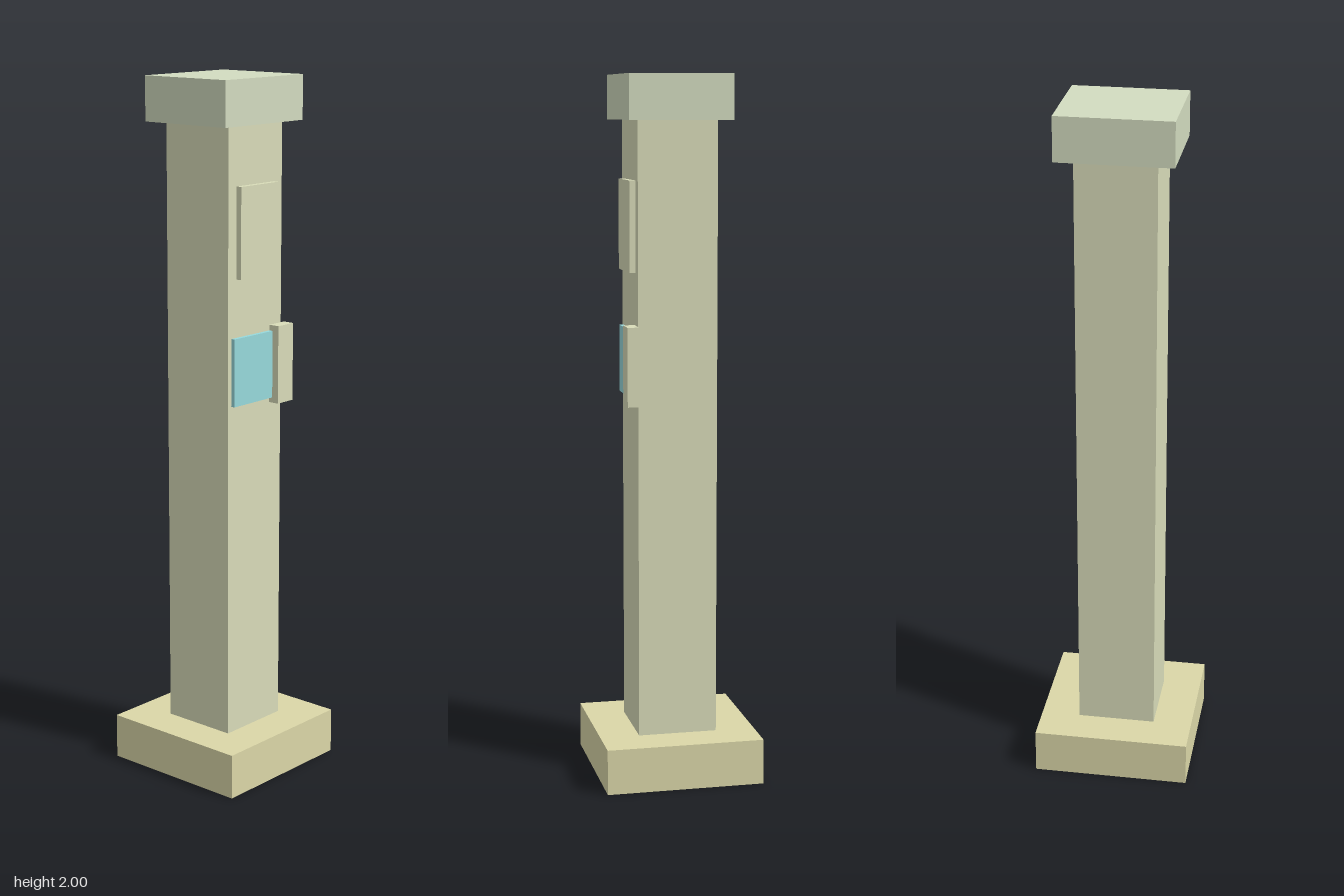
import * as THREE from 'three';

export function createModel() {
  const model = new THREE.Group();
  const mat = (color) => new THREE.MeshStandardMaterial({ color, flatShading: true });
  const stone = mat(0xd9dcb9);

  // Box given by its [min, max] extent on each axis
  const block = (name, material, [x0, x1], [y0, y1], [z0, z1]) => {
    const mesh = new THREE.Mesh(new THREE.BoxGeometry(x1 - x0, y1 - y0, z1 - z0), material);
    mesh.position.set((x0 + x1) / 2, (y0 + y1) / 2, (z0 + z1) / 2);
    mesh.name = name;
    model.add(mesh);
  };

  // Post: plinth, shaft and cap
  block('base', mat(0xdbd7a8), [-0.226, 0.226], [0, 0.13], [-0.226, 0.226]);
  block('shaft', stone, [-0.113, 0.113], [0.13, 1.875], [-0.113, 0.113]);
  block('cap', mat(0xd3dcc0), [-0.162, 0.162], [1.875, 2], [-0.146, 0.146]);

  // Panels mounted on the front face
  block('upperPanel', stone, [-0.079, 0.079], [1.455, 1.71], [0.113, 0.13]);
  block('screen', mat(0x97d9dc), [-0.1, 0.065], [1.1, 1.292], [0.113, 0.125]);
  block('sideReader', stone, [0.063, 0.128], [1.085, 1.308], [0.113, 0.146]);

  return model;
}
